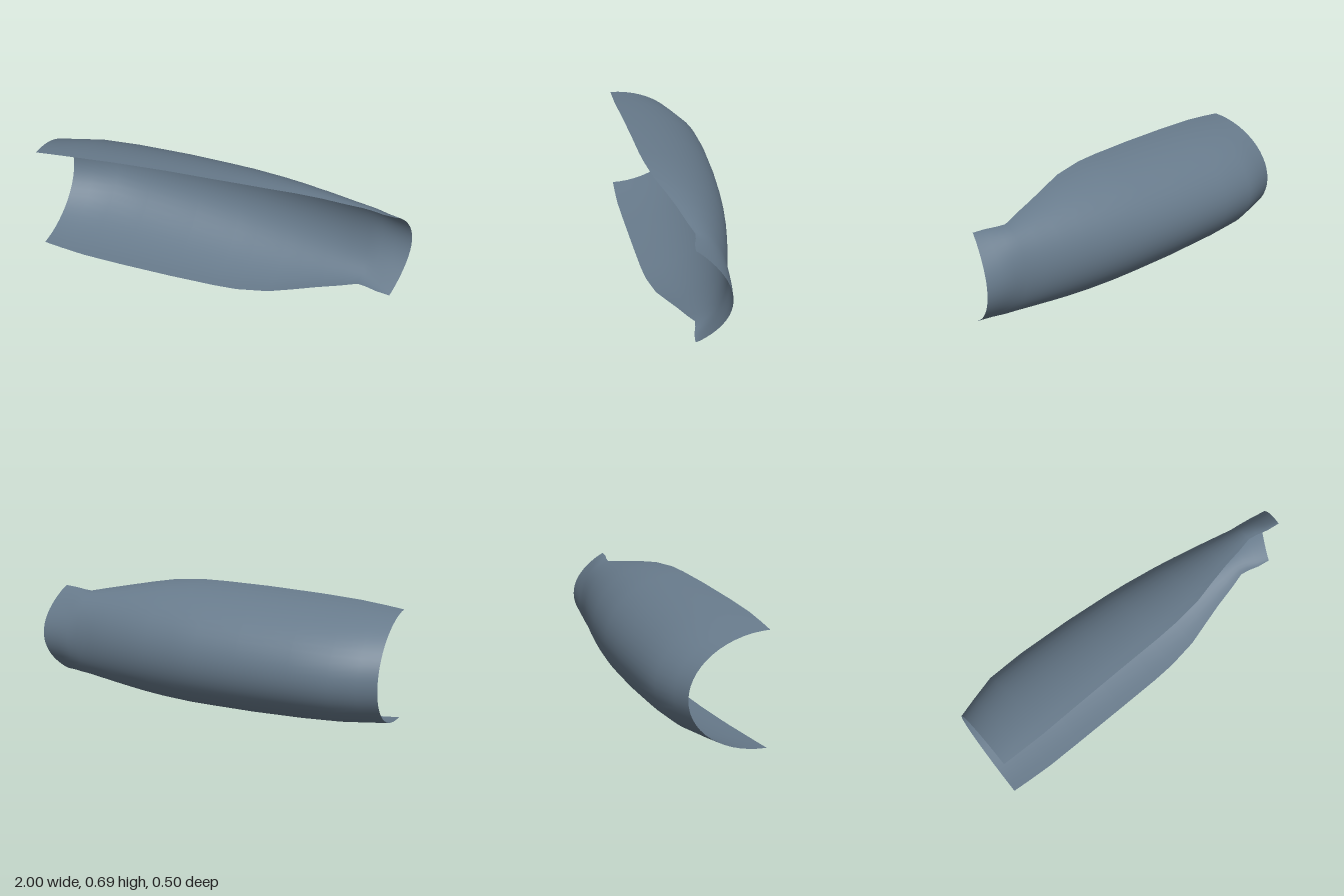
import * as THREE from 'three';

const CENTRE_Y = 0.346;
const ARC = 28;

// Cross-sections along the shell:
// x of rim, extra x at the spine, rim z, spine z, half height, flatness (0 ellipse, 1 parabola)
const SECTIONS = [
  [-1.00, 0, 0.245, -0.170, 0.298, 0],
  [-0.90, 0, 0.248, -0.202, 0.309, 0],
  [-0.76, 0, 0.250, -0.243, 0.322, 0],
  [-0.55, 0, 0.243, -0.250, 0.334, 0],
  [-0.25, 0, 0.233, -0.240, 0.344, 0],
  [0.00, 0, 0.225, -0.222, 0.346, 0],
  [0.13, 0, 0.216, -0.209, 0.345, 0],
  [0.30, 0, 0.190, -0.185, 0.332, 0],
  [0.42, 0, 0.155, -0.164, 0.313, 0],
  [0.55, 0, 0.119, -0.139, 0.288, 0],
  [0.67, 0, 0.092, -0.113, 0.264, 0],
  [0.76, 0.01, 0.068, -0.092, 0.245, 0.05],
  [0.81, 0.025, 0.076, -0.089, 0.246, 0.25],
  [0.87, 0.04, 0.092, -0.083, 0.248, 0.55],
  [0.94, 0.06, 0.100, -0.070, 0.250, 0.85],
];

// Open curved sheet lofted through the cross-sections
function shellGeometry() {
  const geometry = new THREE.PlaneGeometry(1, 1, ARC, SECTIONS.length - 1);
  const position = geometry.attributes.position;
  SECTIONS.forEach(([x, bow, rim, spine, half, flat], row) => {
    for (let i = 0; i <= ARC; i++) {
      const t = (i / ARC - 0.5) * Math.PI;
      const f = THREE.MathUtils.lerp(1 - Math.cos(t), Math.sin(t) ** 2, flat);
      position.setXYZ(
        row * (ARC + 1) + i,
        x + bow * (1 - f),
        CENTRE_Y + half * Math.sin(t),
        spine + (rim - spine) * f
      );
    }
  });
  geometry.computeVertexNormals();
  return geometry;
}

export function createModel() {
  const slate = new THREE.MeshStandardMaterial({ color: 0x687b8c, side: THREE.DoubleSide });
  slate.name = 'slate blue';

  const group = new THREE.Group();
  group.name = 'guardShell';
  const shell = new THREE.Mesh(shellGeometry(), slate);
  shell.name = 'curvedShell';
  group.add(shell);
  return group;
}
